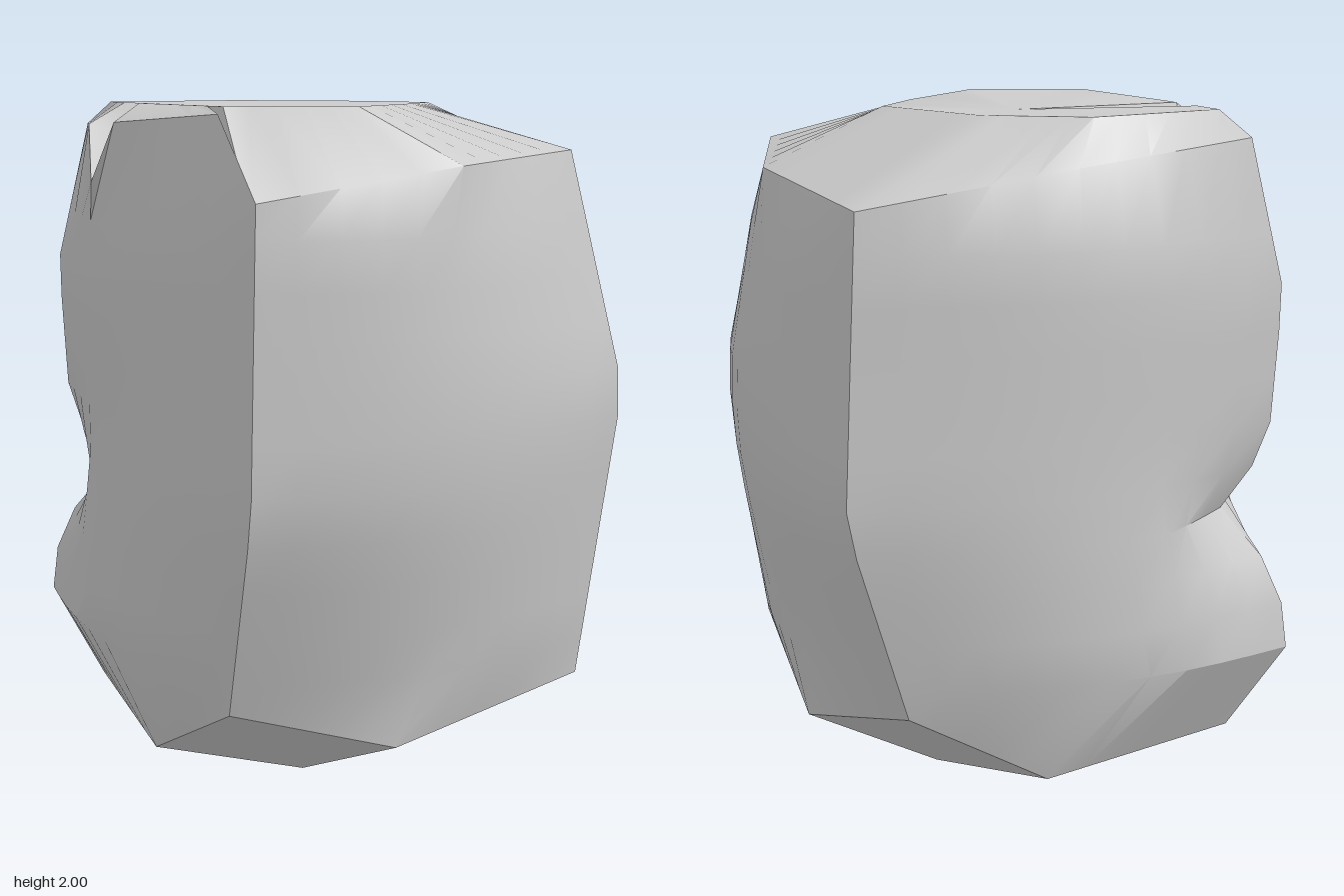
import * as THREE from 'three';
import { toCreasedNormals } from 'three/addons/utils/BufferGeometryUtils.js';

const STEPS = 10;

// Corner ridges as [x, y, z] from bottom to top
const right = [[0.825, 0.28, 0], [0.945, 1.17, 0], [0.78, 1.87, 0.03]];
const front = [[-0.02, 0.29, 0.75], [0.1, 0.9, 0.88], [0.1, 1.75, 0.83]];
const left = [[-0.77, 0.11, 0], [-0.95, 0.39, 0], [-0.87, 0.98, 0], [-0.9, 1.49, 0], [-0.8, 1.93, -0.03]];
const back = [[-0.02, 0.3, -0.74], [0.1, 0.91, -0.88], [0.1, 1.77, -0.79]];

// Sides between ridges; top = points of the upper edge as [x, y, z, t along the side]
const sides = [
  { a: right, b: front, bulge: 0.12, top: [[0.57, 1.84, 0.46, 0.5]] },
  { a: front, b: left, bulge: 0.11, top: [[-0.07, 1.98, 0.67, 0.2], [-0.6, 1.94, 0.37, 0.7]], notch: 0.17 },
  { a: left, b: back, bulge: 0.11, top: [[-0.42, 1.87, -0.44, 0.5]] },
  { a: back, b: right, bulge: 0.12, top: [[0.57, 1.83, -0.42, 0.5]] },
];

// Plateau outline as [x, z], two points per side
const plateau = [[0.3, 0.05], [0.28, 0.5], [-0.07, 0.63], [-0.45, 0.29], [-0.68, 0.05], [-0.42, -0.32], [-0.1, -0.38], [0.28, -0.2]];

const mix = (p, q, t) => p.map((v, i) => THREE.MathUtils.lerp(v, q[i], t));
const tent = (v, centre, width) => Math.max(0, 1 - Math.abs(v - centre) / width);

// Point of a polyline where coordinate number key reaches value
function pointAt(line, key, value) {
  let i = 0;
  while (i < line.length - 2 && line[i + 1][key] < value) i++;
  const p = line[i], q = line[i + 1];
  return mix(p, q, (value - p[key]) / (q[key] - p[key]));
}

// One vertical column: underside, bottom rim, wall, top rim, plateau, centre
function column({ a, b, bulge, top, notch = 0 }, s, t) {
  const low = a === right || b === right ? [0.41, 0.17, 0.53] : [-0.36, 0.07, 0.5];
  if (a === back || b === back) low[2] *= -1;
  const foot = t < 0.5 ? mix(a[0], low, t * 2) : mix(low, b[0], t * 2 - 1);
  const points = [[0.06, 0, THREE.MathUtils.clamp(foot[2], -0.35, 0.35)], foot];

  // bulging wall, with a hollow pinched into the left ridge
  const nearLeft = a === left ? 1 - t : b === left ? t : 0;
  for (let j = 0; j < STEPS; j++) {
    const y = 0.39 + j * 0.14;
    const p = pointAt(a, 1, y), q = pointAt(b, 1, y), m = mix(p, q, t);
    const dx = q[0] - p[0], dz = q[2] - p[2];
    const out = bulge * Math.sin(Math.PI * t) / Math.hypot(dx, dz);
    const dent = 0.16 * tent(y, 0.81, 0.2) * tent(nearLeft, 1, 0.3);
    points.push([m[0] + out * dz + dent, y, m[2] - out * dx]);
  }

  // upper edge and plateau, with the notch cut through both
  const edge = [[...a.at(-1), 0], ...top, [...b.at(-1), 1]];
  const cut = notch * tent(t, 0.7, 0.1);
  const [x, y, z] = pointAt(edge, 3, t);
  const k = 2 * s + (t < 0.5 ? 0 : 1);
  const [px, pz] = mix(plateau[k], plateau[(k + 1) % plateau.length], (t * 2) % 1);
  points.push([x, y - cut, z], [px, 2 - cut * 0.6, pz], [-0.05, 1.98, 0.05]);
  return points;
}

function boulderGeometry() {
  const columns = [];
  sides.forEach((side, s) => {
    for (let i = 0; i < STEPS; i++) columns.push(column(side, s, i / STEPS));
  });
  const rows = columns[0].length;
  const index = [];
  for (let i = 0; i < columns.length; i++) {
    const c = i * rows, n = ((i + 1) % columns.length) * rows;
    for (let j = 0; j < rows - 1; j++) {
      index.push(n + j, c + j, c + j + 1, n + j, c + j + 1, n + j + 1);
    }
  }
  const geometry = new THREE.BufferGeometry();
  geometry.setAttribute('position', new THREE.Float32BufferAttribute(columns.flat(2), 3));
  geometry.setIndex(index);
  return toCreasedNormals(geometry, 0.5);
}

export function createModel() {
  const group = new THREE.Group();
  group.name = 'rock';
  const boulder = new THREE.Mesh(boulderGeometry(), new THREE.MeshStandardMaterial({ color: 0xcccccc }));
  boulder.name = 'boulder';
  group.add(boulder);
  return group;
}
